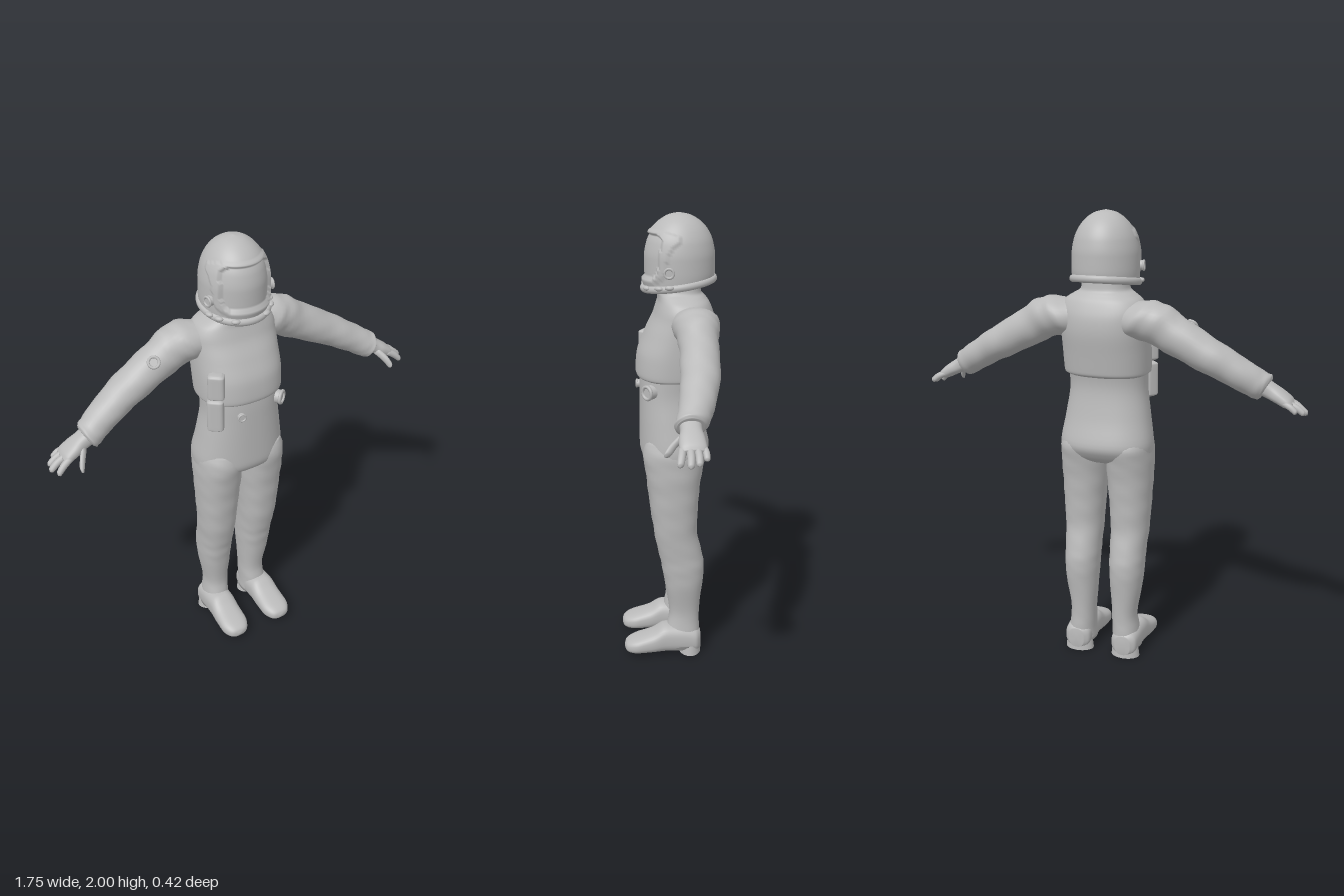
import * as THREE from 'three';

const suit = new THREE.MeshStandardMaterial({ color: 0xbababa });
suit.name = 'suit grey';

const V3 = (x, y, z) => new THREE.Vector3(x, y, z);

// Smooth interpolation through the section rows, without overshoot
function sample(rows, t) {
  const n = rows.length - 1, i = Math.min(Math.floor(t), n - 1), f = t - i;
  const slope = (k, j) => {
    if (k === 0) return rows[1][j] - rows[0][j];
    if (k === n) return rows[n][j] - rows[n - 1][j];
    const p = rows[k][j] - rows[k - 1][j], q = rows[k + 1][j] - rows[k][j];
    return p * q <= 0 ? 0 : 2 * p * q / (p + q);
  };
  const g = 1 - f;
  return rows[i].map((v, j) =>
    v * (1 + 2 * f) * g * g + rows[i + 1][j] * f * f * (3 - 2 * f)
    + slope(i, j) * f * g * g - slope(i + 1, j) * f * f * g);
}

// Closed skin over superellipse sections [cx, cy, cz, halfU, halfV]
function loft(rows, U, V, { power = 2, sides = 32, steps = 5, fold = 0, deform } = {}) {
  const pos = [], idx = [], rings = (rows.length - 1) * steps + 1;
  const bend = (c) => Math.sign(c) * Math.abs(c) ** (2 / power);
  for (let r = 0; r < rings; r++) {
    const t = r / steps, [x, y, z, a, b] = sample(rows, t);
    for (let k = 0; k < sides; k++) {
      const w = k / sides * Math.PI * 2, s = 1 + fold * Math.sin(6.5 * t + 2 * w) * Math.sin(3 * w + t);
      const p = V3(x, y, z).addScaledVector(U, a * s * bend(Math.cos(w))).addScaledVector(V, b * s * bend(Math.sin(w)));
      if (deform) deform(p);
      pos.push(p.x, p.y, p.z);
    }
  }
  const first = rows[0], last = rows[rows.length - 1];
  for (const e of [first, last]) {
    const p = V3(e[0], e[1], e[2]);
    if (deform) deform(p);
    pos.push(p.x, p.y, p.z);
  }
  const path = V3(last[0] - first[0], last[1] - first[1], last[2] - first[2]);
  const flip = U.clone().cross(V).dot(path) < 0;
  const tri = (a, b, c) => flip ? idx.push(a, c, b) : idx.push(a, b, c);
  const start = rings * sides, end = start + 1, top = (rings - 1) * sides;
  for (let k = 0; k < sides; k++) {
    const m = (k + 1) % sides;
    for (let r = 0; r < rings - 1; r++) {
      const o = r * sides;
      tri(o + k, o + m, o + sides + m);
      tri(o + k, o + sides + m, o + sides + k);
    }
    tri(start, m, k);
    tri(end, top + k, top + m);
  }
  const geo = new THREE.BufferGeometry();
  geo.setAttribute('position', new THREE.Float32BufferAttribute(pos, 3));
  geo.setIndex(idx);
  geo.computeVertexNormals();
  return geo;
}

// Upright loft from rows [y, x0, x1, z0, z1]
const tower = (rows, options) => loft(
  rows.map(([y, x0, x1, z0, z1]) => [(x0 + x1) / 2, y, (z0 + z1) / 2, Math.abs(x1 - x0) / 2, (z1 - z0) / 2]),
  V3(1, 0, 0), V3(0, 0, 1), options);

export function createModel() {
  const model = new THREE.Group();
  model.name = 'spaceSuit';
  const add = (name, geo, parent = model) => {
    const mesh = new THREE.Mesh(geo, suit);
    mesh.name = name;
    parent.add(mesh);
    return mesh;
  };

  // Jacket with hem and collar
  add('jacket', tower([
    [1.305, -.172, .172, -.155, .12], [1.315, -.186, .186, -.172, .137], [1.33, -.188, .188, -.177, .141],
    [1.41, -.19, .19, -.19, .134], [1.5, -.19, .19, -.203, .1], [1.58, -.19, .19, -.195, .062],
    [1.63, -.17, .17, -.175, .047], [1.655, -.135, .135, -.155, .045], [1.675, -.105, .105, -.14, .047],
    [1.73, -.095, .095, -.135, .04]], { power: 2.4, sides: 48 }));

  // Waist and seat
  add('hips', tower([
    [1.35, -.176, .176, -.15, .12], [1.25, -.173, .173, -.135, .125], [1.12, -.19, .19, -.152, .125],
    [1.0, -.208, .208, -.18, .125], [.95, -.205, .205, -.158, .115], [.915, -.15, .15, -.11, .07],
    [.9, -.06, .06, -.06, .02]], { power: 2.3, sides: 48 }));

  // Helmet shell: window sunk inside a raised frame, lower edge dropping to the front
  const hz = -.045;
  add('helmet', tower([
    [1.69, -.1, .1, -.15, .06], [1.7, -.138, .138, -.19, .1], [1.76, -.144, .144, -.199, .109],
    [1.82, -.143, .143, -.199, .11], [1.88, -.133, .133, -.19, .1], [1.93, -.111, .111, -.168, .075],
    [1.97, -.077, .077, -.13, .035], [1.992, -.04, .04, -.088, -.005], [2, -.004, .004, -.05, -.04]],
  { sides: 112, steps: 9, deform: (p) => {
    const y = p.y;
    if (p.z > hz) {
      const d = Math.abs(p.x / .113) ** 5 + Math.abs((y - 1.828) / .09) ** 5;
      const push = d < 1 ? -.009 : d < 2.2 ? .005 : 0;
      const r = Math.hypot(p.x, p.z - hz) || 1;
      p.x += push * p.x / r;
      p.z += push * (p.z - hz) / r;
    }
    p.y -= .15 * (p.z - hz) * (1 - THREE.MathUtils.smoothstep(y, 1.69, 1.76));
  } }));
  const rim = add('helmetRim', new THREE.TorusGeometry(.14, .013, 12, 64));
  rim.rotation.x = Math.PI / 2 + .14;
  rim.scale.set(1, 1.08, 1.2);
  rim.position.set(0, 1.708, hz);

  // Round fitting facing along a direction: disc plus raised ring
  const fitting = (name, x, y, z, dir, r, depth = .03) => {
    const g = new THREE.Group();
    g.name = name;
    add('disc', new THREE.CylinderGeometry(r * .85, r * .95, depth, 20), g);
    const ring = add('ring', new THREE.TorusGeometry(r * .8, r * .22, 8, 24), g);
    ring.rotation.x = Math.PI / 2;
    ring.position.y = depth / 2;
    g.position.set(x, y, z);
    g.quaternion.setFromUnitVectors(V3(0, 1, 0), dir.normalize());
    model.add(g);
  };
  fitting('smallValve', -.06, 1.25, .118, V3(-.2, 0, 1), .02);
  fitting('largeValve', .14, 1.265, .085, V3(.6, 0, .8), .034, .04);
  fitting('sleeveGauge', -.378, 1.533, -.04, V3(-.25, .6, .75), .028, .02);

  // Helmet hinges and rim clasps
  for (const s of [-1, 1]) {
    fitting('helmetHinge', s * .138, 1.77, .005, V3(s, 0, .2), .024, .026);
    for (const w of [.5, .95, 1.25]) {
      const clasp = add('rimClasp', new THREE.SphereGeometry(.013, 12, 8));
      clasp.scale.set(1.5, .8, 1);
      clasp.rotation.y = s * w;
      clasp.position.set(s * .15 * Math.sin(w), 1.715 - .02 * Math.cos(w), hz + .16 * Math.cos(w));
    }
  }

  // Pouches on the right side of the chest
  for (const [y, h, z, d] of [[1.412, .12, .082, .055], [1.27, .155, .074, .06]]) {
    const pouch = add('pouch', loft([
      [0, -h / 2, 0, .022, d * .3], [0, -h / 2 + .012, 0, .036, d * .5],
      [0, h / 2 - .012, 0, .036, d * .5], [0, h / 2, 0, .022, d * .3]],
    V3(1, 0, 0), V3(0, 0, 1), { power: 4 }));
    pouch.position.set(-.158, y, z);
    pouch.rotation.y = -.65;
  }

  for (const s of [-1, 1]) {
    const side = new THREE.Group();
    side.name = s > 0 ? 'leftLimbs' : 'rightLimbs';
    model.add(side);
    const across = V3(s * .49, .87, 0), deep = V3(0, 0, 1);
    const mirror = (rows) => rows.map(([x, ...rest]) => [s * x, ...rest]);

    // Sleeve ending in a cuff
    add('sleeve', loft(mirror([
      [.09, 1.565, -.085, .07, .08], [.18, 1.56, -.1, .092, .1], [.25, 1.545, -.1, .09, .09],
      [.33, 1.5, -.098, .083, .08], [.46, 1.43, -.09, .075, .08], [.57, 1.37, -.07, .067, .074],
      [.66, 1.316, -.045, .062, .067], [.694, 1.297, -.03, .06, .064], [.703, 1.292, -.028, .048, .052]]),
    across, deep, { fold: .03 }));

    // Glove: palm, four fingers and thumb
    add('palm', loft(mirror([
      [.68, 1.305, -.027, .038, .044], [.72, 1.285, -.027, .034, .042], [.76, 1.264, -.026, .03, .05],
      [.795, 1.243, -.027, .025, .052], [.815, 1.231, -.027, .014, .045]]), across, deep, { power: 2.4 }));
    const digits = [
      ['thumb', [.725, 1.27, 0], [.755, 1.235, .045], [.772, 1.203, .07], .016],
      ['finger', [.785, 1.246, .01], [.825, 1.222, .018], [.857, 1.192, .026], .015],
      ['finger', [.79, 1.246, -.016], [.838, 1.223, -.015], [.876, 1.193, -.012], .015],
      ['finger', [.79, 1.246, -.042], [.835, 1.225, -.045], [.87, 1.199, -.044], .014],
      ['finger', [.78, 1.248, -.064], [.815, 1.231, -.073], [.842, 1.209, -.075], .013]];
    for (const [name, a, b, c, r] of digits) {
      const near = c.map((v, i) => v + (b[i] - v) * .2);
      add(name, loft(mirror([[...a, r, r], [...b, r, r], [...near, r * .85, r * .85], [...c, r * .2, r * .2]]),
        across, deep, { sides: 14, steps: 4 }), side);
    }

    // Trouser leg running down into the boot shaft
    add('leg', tower([
      [1.04, .03, .19, -.14, .1], [.98, .005, .207, -.16, .118], [.9, .004, .209, -.143, .108],
      [.8, .01, .205, -.13, .093], [.7, .018, .2, -.124, .082], [.6, .024, .194, -.122, .07],
      [.5, .028, .187, -.145, .05], [.43, .03, .185, -.155, .036], [.35, .034, .179, -.149, .022],
      [.2, .044, .156, -.135, .002], [.12, .046, .164, -.136, .015], [.04, .046, .176, -.138, .02]]
      .map(([y, x0, x1, ...z]) => [y, s * x0, s * x1, ...z]), { power: 2.2, fold: .012 }));

    // Boot foot and heel
    add('boot', loft(mirror([
      [.113, .06, -.14, .035, .045], [.113, .066, -.115, .06, .058], [.113, .075, -.04, .064, .066],
      [.114, .077, .02, .064, .066], [.115, .06, .08, .066, .05], [.116, .05, .14, .067, .04],
      [.117, .044, .18, .056, .032], [.117, .041, .203, .035, .02], [.117, .04, .21, .008, .006]]),
    V3(1, 0, 0), V3(0, 1, 0), { power: 2.6 }));
    const heel = add('heel', new THREE.CylinderGeometry(.06, .066, .05, 32));
    heel.scale.z = .75;
    heel.position.set(s * .113, .025, -.092);
  }
  return model;
}
